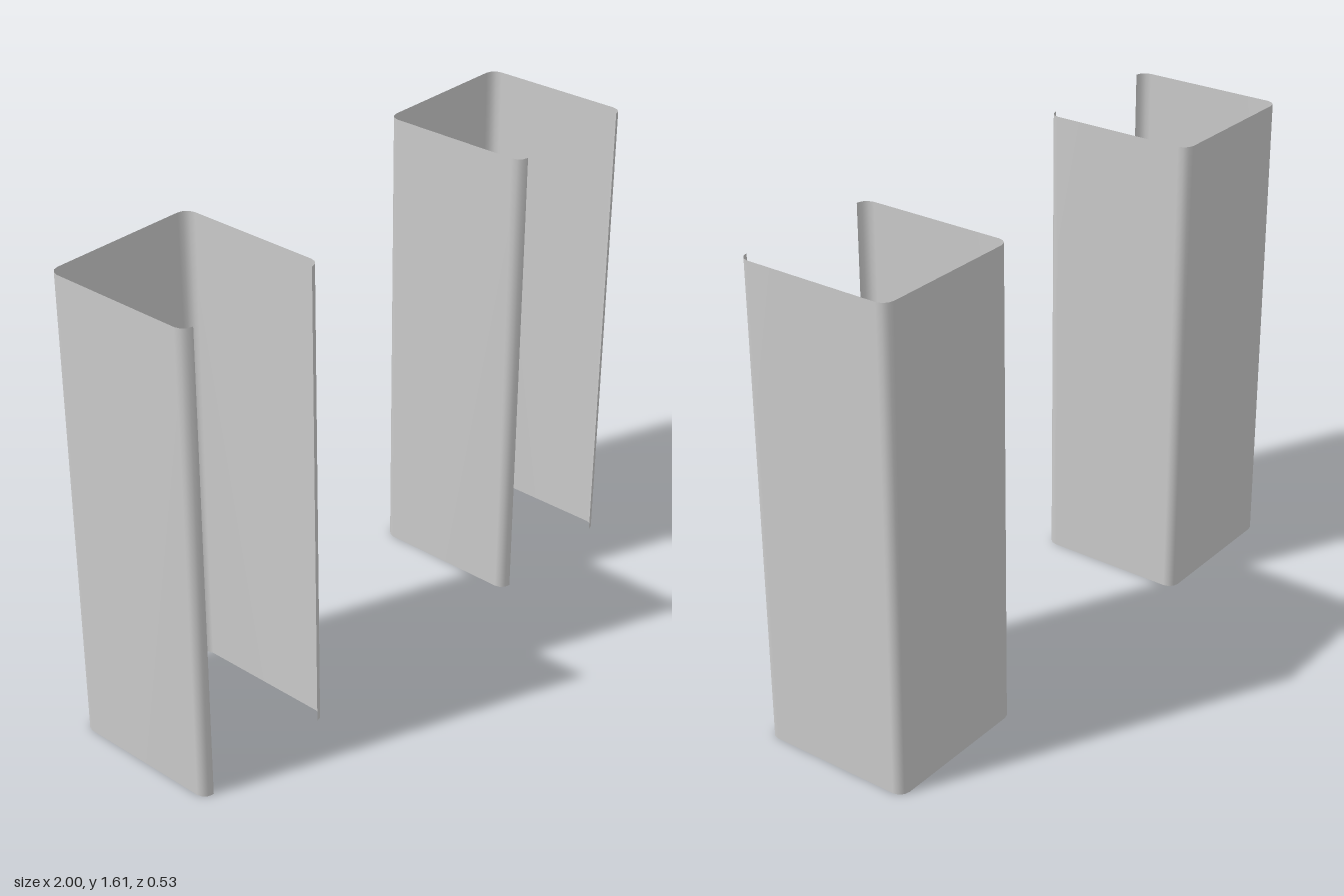
import * as THREE from 'three';

const HEIGHT = 1.61, HALF_W = 0.27, HALF_D = 0.267, RADIUS = 0.036, STEPS = 3;

// Plan outline: three walls, rounded back corners, and short curled lips at the open front
function channelOutline() {
  const points = [];
  const corners = [[1, 1], [1, -1], [-1, -1], [-1, 1]];
  corners.forEach(([sx, sz], i) => {
    for (let s = 0; s <= STEPS; s++) {
      const a = (i + s / STEPS) * Math.PI / 2;
      points.push([
        sx * (HALF_W - RADIUS) + RADIUS * Math.sin(a),
        sz * (HALF_D - RADIUS) + RADIUS * Math.cos(a),
      ]);
    }
  });
  return points;
}

// Thin sheet bent along the outline, standing on the floor
function channelGeometry() {
  const outline = channelOutline();
  const n = outline.length;
  const geometry = new THREE.PlaneGeometry(1, HEIGHT, n - 1, 1);
  geometry.translate(0, HEIGHT / 2, 0);
  const pos = geometry.attributes.position;
  for (let i = 0; i < pos.count; i++) {
    const [x, z] = outline[i % n];
    pos.setXYZ(i, x, pos.getY(i), z);
  }
  geometry.computeVertexNormals();
  return geometry;
}

export function createModel() {
  const group = new THREE.Group();
  const material = new THREE.MeshStandardMaterial({ color: 0xcccccc, side: THREE.DoubleSide });
  const geometry = channelGeometry();

  // A matching pair of upright channels
  for (const side of [1, -1]) {
    const channel = new THREE.Mesh(geometry, material);
    channel.name = side > 0 ? 'leftChannel' : 'rightChannel';
    channel.position.x = side * (1 - HALF_W);
    group.add(channel);
  }
  return group;
}
